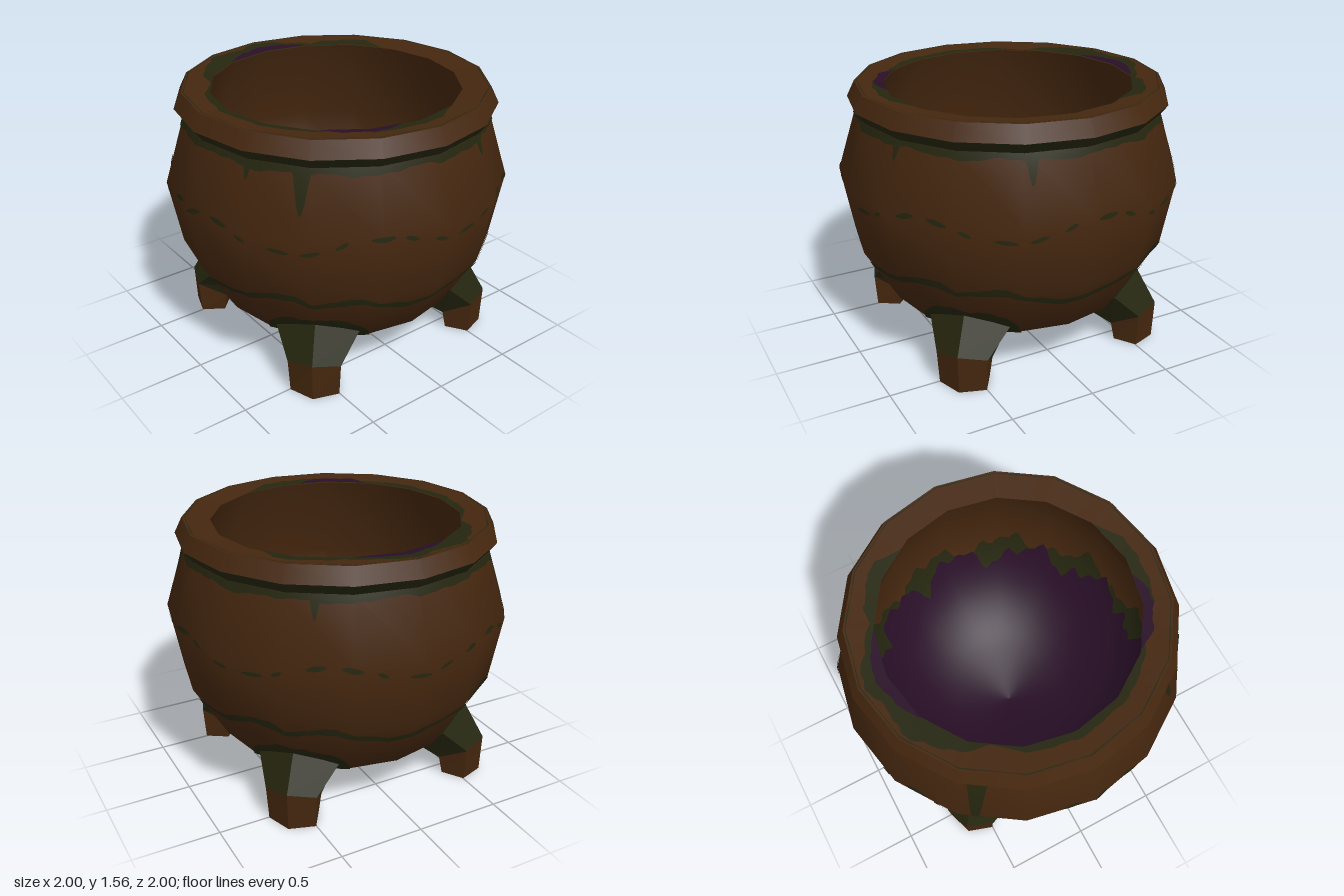
import * as THREE from 'three';

const SIDES = 16;
const STEP = (Math.PI * 2) / SIDES;
const rad = (d) => (d * Math.PI) / 180;

const paint = (name, color) => {
  const m = new THREE.MeshStandardMaterial({ color });
  m.name = name;
  return m;
};

// Profiles as [radius, height]
const OUTER = [[0.001, 0.03], [0.4, 0.1], [0.73, 0.3], [0.93, 0.64], [1, 1.03], [0.88, 1.41]];
const INNER = [[0.001, 0.1], [0.36, 0.17], [0.65, 0.36], [0.84, 0.67], [0.9, 1.02], [0.72, 1.54]];
const RIM_TOP = [[0.72, 1.54], [0.88, 1.56]];

// Point and smooth normal on a sixteen-sided profile; key 0 looks up by radius, 1 by height
function surfacePoint(profile, key, sign, phi, value, lift) {
  let i = 0;
  while (i < profile.length - 2 && value > profile[i + 1][key]) i++;
  const segNormal = (k) => {
    const a = profile[Math.max(0, Math.min(profile.length - 2, k))];
    const b = profile[Math.max(0, Math.min(profile.length - 2, k)) + 1];
    return new THREE.Vector2(b[1] - a[1], a[0] - b[0]).normalize().multiplyScalar(sign);
  };
  const a = profile[i], b = profile[i + 1];
  const t = THREE.MathUtils.clamp((value - a[key]) / (b[key] - a[key]), 0, 1);
  const here = segNormal(i);
  const n = segNormal(i - 1).add(here).normalize()
    .lerp(segNormal(i + 1).add(here).normalize(), t).normalize();
  const local = ((phi % STEP) + STEP) % STEP;
  const facet = Math.cos(STEP / 2) / Math.cos(local - STEP / 2);
  const r = (a[0] + (b[0] - a[0]) * t) * facet + n.x * lift;
  const y = a[1] + (b[1] - a[1]) * t + n.y * lift;
  const s = Math.sin(phi), c = Math.cos(phi);
  return { p: [r * s, y, r * c], n: [n.x * s, n.y, n.x * c] };
}

// Thin painted patch between two edge curves, lo(t, phi) and hi(t, phi)
function patch(on, from, to, lo, hi, cols, rows, lift = 0.005) {
  const pos = [], nor = [], idx = [];
  for (let i = 0; i <= cols; i++) {
    const t = i / cols, phi = rad(from + (to - from) * t);
    const l = lo(t, phi), h = hi(t, phi);
    for (let j = 0; j <= rows; j++) {
      const s = surfacePoint(on.profile, on.key, on.sign, phi, l + ((h - l) * j) / rows, lift);
      pos.push(...s.p);
      nor.push(...s.n);
      if (i < cols && j < rows) {
        const a = i * (rows + 1) + j, b = a + rows + 1;
        if (on.sign > 0) idx.push(a, b, b + 1, a, b + 1, a + 1);
        else idx.push(a, b + 1, b, a, a + 1, b + 1);
      }
    }
  }
  const g = new THREE.BufferGeometry();
  g.setAttribute('position', new THREE.Float32BufferAttribute(pos, 3));
  g.setAttribute('normal', new THREE.Float32BufferAttribute(nor, 3));
  g.setIndex(idx);
  return g;
}

// Flat-sided solid from stacked five-point rings
function loft(rings) {
  const pos = [], n = rings[0].length;
  const tri = (...ps) => ps.forEach((p) => pos.push(...p));
  for (let k = 0; k < rings.length - 1; k++) {
    for (let i = 0; i < n; i++) {
      const j = (i + 1) % n, A = rings[k], B = rings[k + 1];
      tri(A[i], A[j], B[j]);
      tri(A[i], B[j], B[i]);
    }
  }
  const low = rings[0], top = rings[rings.length - 1];
  for (let i = 1; i < n - 1; i++) {
    tri(low[0], low[i + 1], low[i]);
    tri(top[0], top[i], top[i + 1]);
  }
  const g = new THREE.BufferGeometry();
  g.setAttribute('position', new THREE.Float32BufferAttribute(pos, 3));
  g.computeVertexNormals();
  return g;
}

export function createModel() {
  const brown = paint('rusty brown', 0x45270f);
  const green = paint('moss green', 0x25260f);
  const purple = paint('potion purple', 0x290f28);
  const root = new THREE.Group();
  root.name = 'cauldron';
  const add = (name, geometry, material, parent = root) => {
    const m = new THREE.Mesh(geometry, material);
    m.name = name;
    parent.add(m);
    return m;
  };
  const lathe = (pts) => new THREE.LatheGeometry(pts.map((p) => new THREE.Vector2(...p)), SIDES);
  const wobble = (a) => 0.5 * Math.sin(5 * a) + 0.3 * Math.sin(11 * a + 1) + 0.2 * Math.sin(23 * a + 2);
  const outside = { profile: OUTER, key: 1, sign: 1 };
  const inside = { profile: INNER, key: 1, sign: -1 };
  const rimTop = { profile: RIM_TOP, key: 0, sign: -1 };

  // Pot and rim
  add('body', lathe(OUTER), brown);
  add('rimUnderside', lathe([[0.88, 1.41], [0.925, 1.47]]), green);
  add('rimSide', lathe([[0.925, 1.47], [0.88, 1.56]]), brown);
  add('rimTop', lathe([...RIM_TOP].reverse()), brown);
  add('innerWall', lathe([...INNER].reverse()), brown);

  // Potion residue inside
  add('innerMoss', patch(inside, 0, 360, () => 0.55,
    (t, a) => 0.78 + 0.12 * wobble(a * 2), 192, 10, 0.003), green);
  add('potion', patch(inside, 0, 360, () => 0.1,
    (t, a) => 0.68 + 0.13 * wobble(a * 2 + 0.4), 192, 24, 0.007), purple);
  add('potionMoss', patch(inside, -72, -56, (t) => 0.4 - 0.06 * Math.sin(Math.PI * t),
    (t) => 0.4 + 0.07 * Math.sin(Math.PI * t), 8, 4, 0.01), green);

  // Stains on top of the rim: [from, to, inner radius, outer radius]
  const rimStain = (name, [from, to, r0, r1], mat, lift) => add(name, patch(rimTop, from, to,
    () => r0, (t, a) => r0 + (r1 - r0) * Math.min(1, 4 * t, 4 - 4 * t) * (0.85 + 0.15 * wobble(a * 3)),
    48, 2, lift), mat);
  [[-118, -35, 0.72, 0.86], [-152, -112, 0.72, 0.81], [-38, 60, 0.72, 0.775], [55, 112, 0.72, 0.8]]
    .forEach((s) => rimStain('rimMoss', s, green, 0.003));
  [[-112, -66, 0.72, 0.79], [46, 82, 0.72, 0.785]]
    .forEach((s) => rimStain('rimPotion', s, purple, 0.006));
  add('rimEdgeMoss', patch(rimTop, 0, 360, () => 0.864,
    (t, a) => 0.87 + 0.004 * wobble(a * 3), 96, 1, 0.003), green);

  // Moss collar under the rim, with drips: [angle, half width, lowest point]
  add('collarMoss', patch(outside, 0, 360, (t, a) => 1.372 + 0.015 * wobble(a * 2), () => 1.41, 192, 3), green);
  [[-39, 4, 0.94], [42, 3.5, 1.17], [23, 1.5, 1.31], [112, 2, 1.3], [160, 2.5, 1.25], [-125, 2, 1.28]]
    .forEach(([at, half, low]) => add('drip', patch(outside, at - half, at + half,
      (t) => 1.39 - (1.39 - low) * Math.pow(Math.sin(Math.PI * t), 1.6), () => 1.39, 16, 24), green));

  // Broken scratch line around the belly
  for (let i = 0; i < 34; i++) {
    const from = (i * 360) / 34;
    const len = 5.5 + 2 * Math.sin(i * 2.3);
    const mid = 1.01 + 0.045 * Math.sin(i * 1.15 + 0.9);
    const slope = 0.03 * Math.cos(i * 1.15 + 0.9);
    const edge = (d) => (t) => mid + slope * (t - 0.5) + d * Math.sin(Math.PI * (0.1 + 0.8 * t));
    add('bellyScratch', patch(outside, from, from + len, edge(-0.014), edge(0.014), 6, 3), green);
  }

  // Wavy moss line, repeated on each quarter: [angle, height]
  const wave = [[-45, 0.62], [-36, 0.64], [-28, 0.65], [-18, 0.59], [-9, 0.54], [0, 0.56],
    [12, 0.57], [21, 0.61], [31, 0.66], [39, 0.66], [45, 0.62]];
  const waveAt = (a) => {
    const d = ((((a * 180) / Math.PI + 45) % 90) + 90) % 90 - 45;
    let i = 0;
    while (i < wave.length - 2 && d > wave[i + 1][0]) i++;
    const [p, q] = [wave[i], wave[i + 1]];
    return p[1] + ((q[1] - p[1]) * (d - p[0])) / (q[0] - p[0]);
  };
  add('wavyMoss', patch(outside, 0, 360, (t, a) => waveAt(a) - 0.022 - 0.008 * wobble(a * 3),
    (t, a) => waveAt(a) + 0.02 + 0.008 * wobble(a * 4), 192, 4), green);

  // Mossy underside
  add('undersideMoss', patch(outside, 0, 360, () => 0.03,
    (t, a) => 0.18 + 0.06 * wobble(a * 2), 192, 18), green);

  // Four legs with a ridge in front; rings run ridge, side, back, back, side
  const ring = (ridge, side, back) => [
    [0, ridge[1], ridge[0]], [side[2], side[1], side[0]], [back[2], back[1], back[0]],
    [-back[2], back[1], back[0]], [-side[2], side[1], side[0]]];
  const sole = ring([0.92, 0], [0.85, 0, 0.14], [0.71, 0, 0.11]);
  const ankle = ring([0.93, 0.23], [0.86, 0.2, 0.15], [0.69, 0.11, 0.12]);
  const hip = ring([0.81, 0.44], [0.725, 0.35, 0.235], [0.55, 0.2, 0.15]);
  const footShape = loft([sole, ankle]);
  const kneeShape = loft([ankle, hip]);
  for (let k = 0; k < 4; k++) {
    const leg = new THREE.Group();
    leg.name = 'leg';
    leg.rotation.y = rad(45 + 90 * k);
    add('foot', footShape, brown, leg);
    add('knee', kneeShape, green, leg);
    root.add(leg);
    // Moss spreading onto the body around each leg
    const at = 45 + 90 * k;
    add('legMoss', patch(outside, at - 23, at + 23, (t) => 0.3 - 0.12 * Math.sin(Math.PI * t),
      (t, a) => 0.3 + 0.19 * Math.sqrt(Math.sin(Math.PI * Math.min(t, 1 - t))) * (0.95 + 0.1 * wobble(a * 3)),
      32, 10, 0.006), green);
  }
  return root;
}
